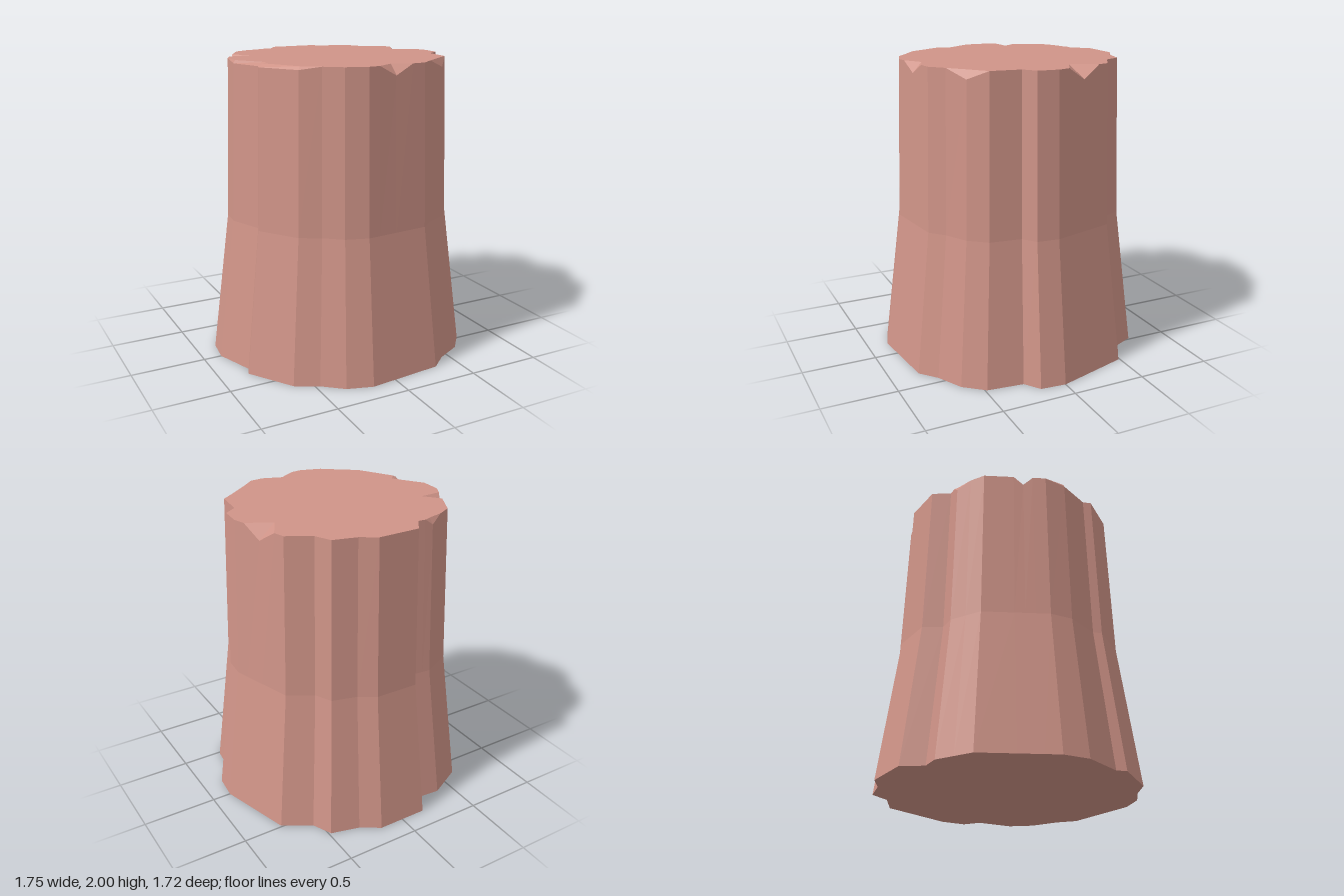
import * as THREE from 'three';

const HEIGHT = 2, WAIST_Y = 0.95, WAIST_SCALE = 0.861, RIM_SCALE = 0.822;

// Base outline as x,z corners, clockwise from above, starting at the back
const corners = [
  [-0.17, -0.86], [0.17, -0.86], [0.295, -0.78], [0.485, -0.73],
  [0.545, -0.6], [0.73, -0.49], [0.875, 0], [0.86, 0.17],
  [0.757, 0.243], [0.73, 0.487], [0.62, 0.62], [0.447, 0.71],
  [0.335, 0.807], [-0.17, 0.86], [-0.34, 0.807], [-0.47, 0.7],
  [-0.62, 0.62], [-0.81, 0.33], [-0.785, 0.265], [-0.88, 0],
  [-0.86, -0.175], [-0.62, -0.62], [-0.39, -0.74], [-0.26, -0.73],
].map(([x, z]) => new THREE.Vector3(x, 0, z));

// Chips in the rim. "at" is a corner number plus the fraction along its edge,
// "reach" the half width (0: as far as the next corners), "inset" the scale
// of the point where the chip meets the flat top.
const chips = [
  { at: 5.49, reach: 0.31, drop: 0.08, inset: 0.81 },
  { at: 10, reach: 0, drop: 0.055, inset: 0.955 },
  { at: 12.52, reach: 0.3, drop: 0.065, inset: 0.91 },
  { at: 16, reach: 0, drop: 0.02, inset: 0.97 },
  { at: 17, reach: 0, drop: 0.02, inset: 0.94 },
  { at: 18, reach: 0, drop: 0.02, inset: 0.9 },
  { at: 19, reach: 0, drop: 0.02, inset: 0.985 },
  { at: 20.365, reach: 0.155, drop: 0.06, inset: 0.82 },
  { at: 22, reach: 0.5, drop: 0.04, inset: 0.965 },
];

// Band of quads between two loops, facing outwards
function band(lower, upper) {
  return lower.flatMap((a, i) => {
    const j = (i + 1) % lower.length;
    const b = lower[j], c = upper[j], d = upper[i];
    return [...(b.equals(c) ? [] : [b, d, c]), ...(a.equals(d) ? [] : [b, a, d])];
  });
}

// Flat face filling a loop, facing up or down
function cap(loop, up) {
  const flat = loop.map((p) => new THREE.Vector2(p.x, p.z));
  return THREE.ShapeUtils.triangulateShape(flat, []).flatMap(([i, j, k]) => {
    const facesDown = flat[j].clone().sub(flat[i]).cross(flat[k].clone().sub(flat[i])) > 0;
    return (facesDown === up ? [i, k, j] : [i, j, k]).map((n) => loop[n]);
  });
}

export function createModel() {
  const group = new THREE.Group();
  const material = new THREE.MeshStandardMaterial({ color: 0xd09488, flatShading: true });

  const addMesh = (name, points) => {
    const geometry = new THREE.BufferGeometry().setFromPoints(points);
    geometry.computeVertexNormals();
    const mesh = new THREE.Mesh(geometry, material);
    mesh.name = name;
    group.add(mesh);
  };

  // All stations round the outline: the corners and the ends of the chips
  const stations = [...new Set([
    ...corners.keys(),
    ...chips.flatMap(({ at, reach }) => [at - reach, at, at + reach]),
  ])].sort((a, b) => a - b);

  const base = stations.map((s) => {
    const i = Math.floor(s);
    return corners[i].clone().lerp(corners[(i + 1) % corners.length], s - i);
  });
  const ring = (scale, y) => base.map((p) => new THREE.Vector3(p.x * scale, y, p.z * scale));
  const waist = ring(WAIST_SCALE, WAIST_Y);
  const rim = ring(RIM_SCALE, HEIGHT);
  const top = ring(RIM_SCALE, HEIGHT);

  // Lower the rim and pull in the top surface at each chip
  for (const { at, drop, inset } of chips) {
    const i = stations.indexOf(at);
    rim[i].y -= drop;
    top[i].x *= inset;
    top[i].z *= inset;
  }

  // Flared foot, steeper upper trunk, chips along the rim, and the two flat ends
  addMesh('flaredFoot', band(base, waist));
  addMesh('upperTrunk', band(waist, rim));
  addMesh('rimChips', band(rim, top));
  addMesh('cutTop', cap(top, true));
  addMesh('underside', cap(base, false));
  return group;
}
